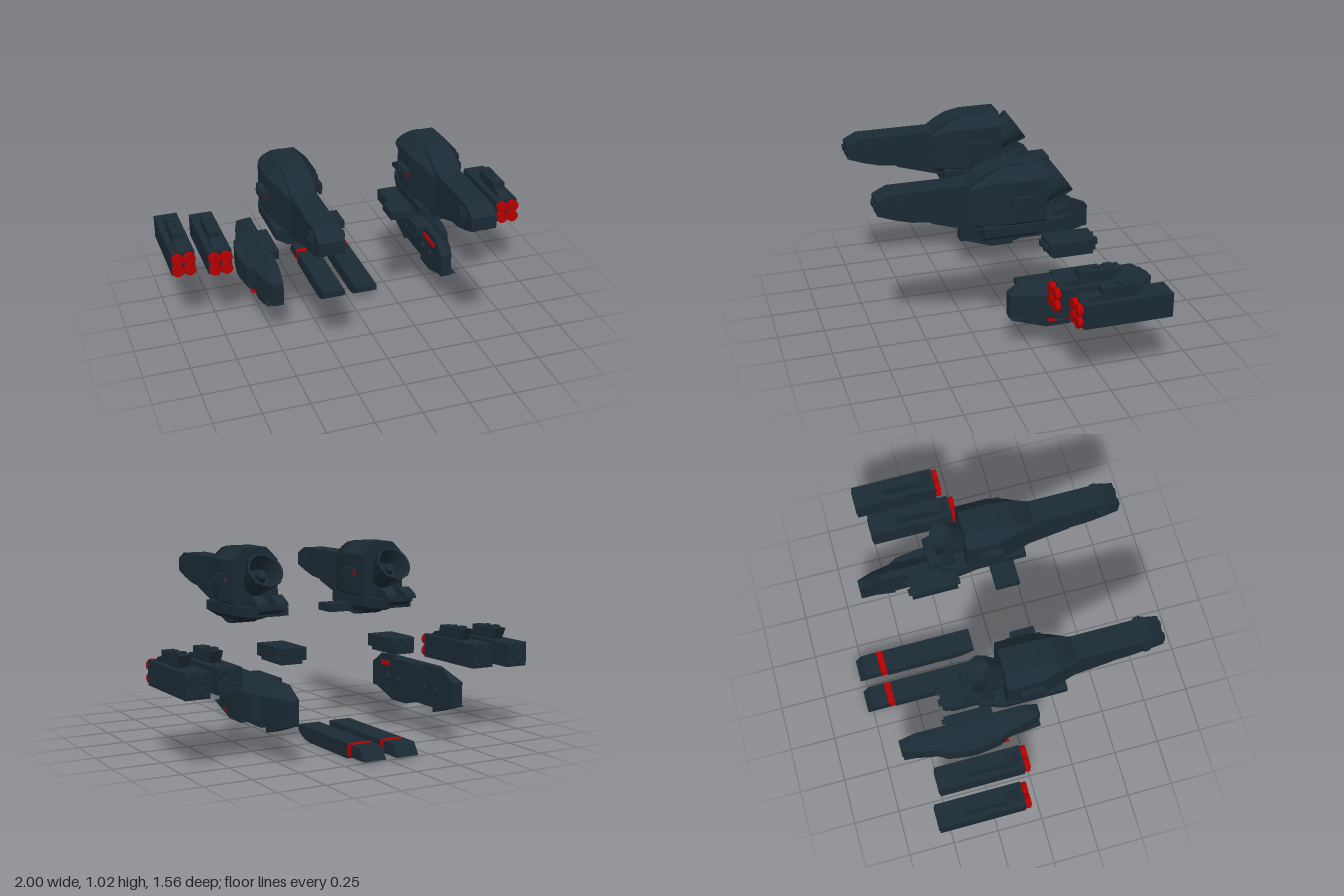
import * as THREE from 'three';
import { ConvexGeometry } from 'three/addons/geometries/ConvexGeometry.js';

const dark = new THREE.MeshStandardMaterial({ color: 0x1b2a34, flatShading: true });
const red = new THREE.MeshStandardMaterial({ color: 0xb40000, flatShading: true });

// Box from min/max pairs
function box(x0, x1, y0, y1, z0, z1) {
  return new THREE.BoxGeometry(x1 - x0, y1 - y0, z1 - z0)
    .translate((x0 + x1) / 2, (y0 + y1) / 2, (z0 + z1) / 2);
}

// Side profile of [z, y] points, extruded from x0 to x1
function sideExtrude(pts, x0, x1) {
  const shape = new THREE.Shape(pts.map(([z, y]) => new THREE.Vector2(-z, y)));
  return new THREE.ExtrudeGeometry(shape, { depth: x1 - x0, bevelEnabled: false })
    .rotateY(Math.PI / 2).translate(x0, 0, 0);
}

// Plan outline of [x, z] points, extruded from y0 to y1
function planExtrude(pts, y0, y1) {
  const shape = new THREE.Shape(pts.map(([x, z]) => new THREE.Vector2(x, -z)));
  return new THREE.ExtrudeGeometry(shape, { depth: y1 - y0, bevelEnabled: false })
    .rotateX(-Math.PI / 2).translate(0, y0, 0);
}

// Round stud along an axis
function stud(axis, x, y, z, r, h, n = 12) {
  const g = new THREE.CylinderGeometry(r, r, h, n);
  if (axis === 'x') g.rotateZ(Math.PI / 2);
  if (axis === 'z') g.rotateX(Math.PI / 2);
  return g.translate(x, y, z);
}

// Mirrored copy across x with its corners reordered
function mirrored(geo) {
  const g = geo.index ? geo.toNonIndexed() : geo.clone();
  g.scale(-1, 1, 1);
  for (const a of Object.values(g.attributes)) {
    const s = a.itemSize;
    for (let i = 0; i < a.count; i += 3) for (let k = 0; k < s; k++) {
      const p = (i + 1) * s + k, q = (i + 2) * s + k, t = a.array[p];
      a.array[p] = a.array[q];
      a.array[q] = t;
    }
  }
  g.computeVertexNormals();
  return g;
}

const hull = pts => new ConvexGeometry(pts.map(p => new THREE.Vector3(...p)));

export function createModel() {
  const root = new THREE.Group();
  root.name = 'modularShipParts';
  let left, right;
  const section = name => {
    left = new THREE.Group(); left.name = name + 'Left';
    right = new THREE.Group(); right.name = name + 'Right';
    root.add(left, right);
  };
  const add = (name, geo, mat = dark) => {
    const a = new THREE.Mesh(geo, mat), b = new THREE.Mesh(mirrored(geo), mat);
    a.name = b.name = name;
    left.add(a); right.add(b);
  };
  const cx = 0.387;

  // Engine pod: long nose and domed spine
  section('enginePod');
  add('noseSpine', sideExtrude([
    [0.77, 0.84], [0.77, 0.91], [0.7, 0.945], [0.31, 0.945], [0.26, 0.98], [0.2, 1.01], [0.12, 1.025],
    [-0.07, 1.025], [-0.07, 0.68], [0.25, 0.69], [0.37, 0.725], [0.5, 0.765], [0.51, 0.775], [0.6, 0.785], [0.69, 0.81],
  ], 0.322, 0.452));
  for (const x of [0.355, 0.42]) add('noseTipStud', stud('z', x, 0.875, 0.772, 0.018, 0.016));
  add('noseBolt', stud('x', cx, 0.89, 0.67, 0.02, 0.18));
  add('noseBoltPlate', box(0.308, 0.466, 0.862, 0.918, 0.642, 0.698));

  // Eight-sided body tapering forward into the spine
  const ring = (z, w, top, bot, c) => [-1, 1].flatMap(s => [
    [cx + s * (w - c), top, z], [cx + s * w, top - c, z],
    [cx + s * w, bot + c, z], [cx + s * (w - c), bot, z]]);
  add('bodyShell', hull([
    ...ring(-0.07, 0.13, 1.022, 0.68, 0.062), ...ring(0.11, 0.13, 1.022, 0.68, 0.062),
    ...ring(0.2, 0.105, 1.0, 0.69, 0.045), ...ring(0.305, 0.072, 0.94, 0.715, 0.02)]));
  add('bodyStud', stud('x', cx, 0.945, 0.15, 0.02, 0.245));
  add('cheekStripe', box(0.245, 0.529, 0.843, 0.868, 0.0, 0.1), red);
  add('cheekBracket', box(0.242, 0.532, 0.868, 0.885, 0.0, 0.115));
  for (const x of [0.236, 0.538]) {
    add('cheekPlate', box(x - 0.008, x + 0.008, 0.825, 0.885, -0.005, 0.115));
    for (const z of [0.03, 0.085]) add('cheekStud', stud('x', x, 0.855, z, 0.018, 0.03));
  }

  // Lower hull with upturned tail and keel
  add('lowerHull', sideExtrude([
    [0.25, 0.66], [0.25, 0.73], [-0.27, 0.74], [-0.27, 0.72], [-0.2, 0.69], [-0.12, 0.67], [-0.02, 0.66],
  ], 0.322, 0.452));
  add('hullFlare', planExtrude([
    [0.26, 0.25], [0.52, 0.25], [0.52, -0.08], [0.48, -0.21], [0.295, -0.21], [0.26, -0.08]], 0.68, 0.73));
  add('hullChamfer', hull([
    [0.26, 0.68, 0.25], [0.52, 0.68, 0.25], [0.26, 0.68, -0.08], [0.52, 0.68, -0.08],
    [0.32, 0.64, 0.25], [0.455, 0.64, 0.25], [0.32, 0.64, 0], [0.455, 0.64, 0]]));
  add('keel', sideExtrude([
    [0.25, 0.66], [0.2, 0.635], [0.16, 0.62], [0.12, 0.615], [0.07, 0.62], [0.02, 0.64], [-0.02, 0.66],
  ], 0.322, 0.452));
  for (const x of [0.3, 0.41]) add('tailFin', sideExtrude([
    [-0.13, 0.735], [-0.14, 0.755], [-0.2, 0.79], [-0.265, 0.755], [-0.27, 0.735]], x, x + 0.065));
  add('sidePlate', box(0.13, 0.27, 0.642, 0.685, 0.05, 0.18));

  // Tilted thruster bell
  const place = g => g.rotateX(-0.963).translate(cx, 0.825, -0.05);
  add('thrusterBell', place(new THREE.LatheGeometry([
    [0, 0], [0.06, 0], [0.068, 0.03], [0.098, 0.165], [0.086, 0.165], [0.06, 0.06], [0, 0.06],
  ].map(p => new THREE.Vector2(...p)), 20)));
  add('thrusterCore', place(new THREE.CylinderGeometry(0.025, 0.035, 0.06, 12).translate(0, 0.09, 0)));
  for (let i = 0; i < 8; i++) add('thrusterRib', place(new THREE.BoxGeometry(0.012, 0.1, 0.014)
    .rotateX(0.2).translate(0, 0.11, 0.084).rotateY(i * Math.PI / 4)));
  add('thrusterMount', stud('x', cx, 0.81, -0.03, 0.04, 0.12));

  // Curved armour nacelle
  section('armourNacelle');
  const half = [[0.51, 0.12], [0.54, 0.03], [0.558, -0.07], [0.588, -0.12], [0.605, -0.24]];
  const outline = [[0.45, 0.12], ...half, ...half.map(([x, z]) => [x, -0.535 - z]).reverse(), [0.45, -0.655]];
  add('armourSide', planExtrude(outline, 0.205, 0.335));
  add('armourTop', hull([
    ...outline.map(([x, z]) => [Math.min(x, 0.56), 0.335, z]),
    ...[[0.45, 0.03], [0.49, 0], [0.49, -0.5], [0.45, -0.56]].map(([x, z]) => [x, 0.395, z])]));
  add('topTab', box(0.402, 0.49, 0.343, 0.395, -0.39, -0.13));
  for (const x of [0.424, 0.466]) add('tabStud', stud('z', x, 0.369, -0.395, 0.014, 0.02));
  add('frontChin', sideExtrude([[0.12, 0.21], [-0.07, 0.145], [-0.2, 0.145], [-0.2, 0.21]], 0.46, 0.54));
  add('rearChin', sideExtrude([[-0.46, 0.21], [-0.46, 0.145], [-0.65, 0.205]], 0.46, 0.53));
  add('underPlate', box(0.46, 0.555, 0.172, 0.21, -0.46, -0.2));
  add('underStripe', box(0.53, 0.575, 0.192, 0.206, -0.2, -0.07), red);
  add('innerStripe', box(0.441, 0.455, 0.335, 0.36, -0.13, 0.02), red);
  for (const z of [-0.5, -0.4, -0.14, -0.04]) add('innerStud', stud('x', 0.446, 0.27, z, 0.02, 0.02));

  // Small connector block
  section('connectorBlock');
  add('blockBody', planExtrude([
    [0.26, -0.385], [0.39, -0.385], [0.41, -0.33], [0.41, -0.13], [0.26, -0.13]], 0.475, 0.54));
  add('blockBase', box(0.275, 0.395, 0.455, 0.475, -0.37, -0.15));
  for (const x of [0.293, 0.357]) {
    add('blockStud', stud('z', x, 0.51, -0.392, 0.02, 0.02));
    add('blockStud', stud('z', x, 0.505, -0.122, 0.02, 0.02));
  }

  // Missile pods, inner and outer
  section('missilePods');
  for (const [x, dz] of [[0.935, 0], [0.747, 0.048]]) {
    add('podBox', box(x - 0.064, x + 0.064, 0.367, 0.495, -0.56 + dz, -0.1 + dz));
    for (const sx of [-1, 1]) for (const sy of [-1, 1]) {
      const px = x + sx * 0.032, py = 0.431 + sy * 0.032;
      add('missileTip', stud('z', px, py, -0.083 + dz, 0.032, 0.026, 16), red);
      add('missileTip', stud('z', px, py, -0.1 + dz, 0.022, 0.02), red);
      add('podRearTube', new THREE.TorusGeometry(0.02, 0.006, 6, 10).translate(px, py, -0.56 + dz));
    }
    add('podRail', sideExtrude([
      [-0.12, 0.495], [-0.15, 0.515], [-0.2, 0.525], [-0.2, 0.557], [-0.42, 0.557], [-0.39, 0.495],
    ].map(([z, y]) => [z + dz, y]), x - 0.031, x + 0.031));
    add('railClip', box(x - 0.025, x + 0.025, 0.555, 0.567, -0.38 + dz, -0.34 + dz));
    add('railStud', stud('y', x, 0.56, -0.3 + dz, 0.015, 0.014));
  }

  // Flat landing blades
  section('blade');
  const [b0, b1] = [0.032, 0.158];
  add('bladeBody', sideExtrude([
    [-0.11, 0.08], [-0.11, 0.05], [-0.14, 0.03], [-0.18, 0.013], [-0.23, 0.004], [-0.62, 0.004], [-0.62, 0.08],
  ], b0, b1));
  add('bladeBand', box(b0, b1, 0.018, 0.081, -0.655, -0.62), red);
  add('bladeTail', sideExtrude([[-0.655, 0.018], [-0.655, 0.08], [-0.74, 0.08], [-0.78, 0.018]], b0, b1));
  add('bladeStud', stud('y', 0.095, 0.08, -0.565, 0.022, 0.008));
  for (const z of [-0.235, -0.365, -0.49]) for (const y of [0.035, 0.062])
    add('bladePin', stud('x', 0.095, y, z, 0.005, 0.13, 8));

  return root;
}
